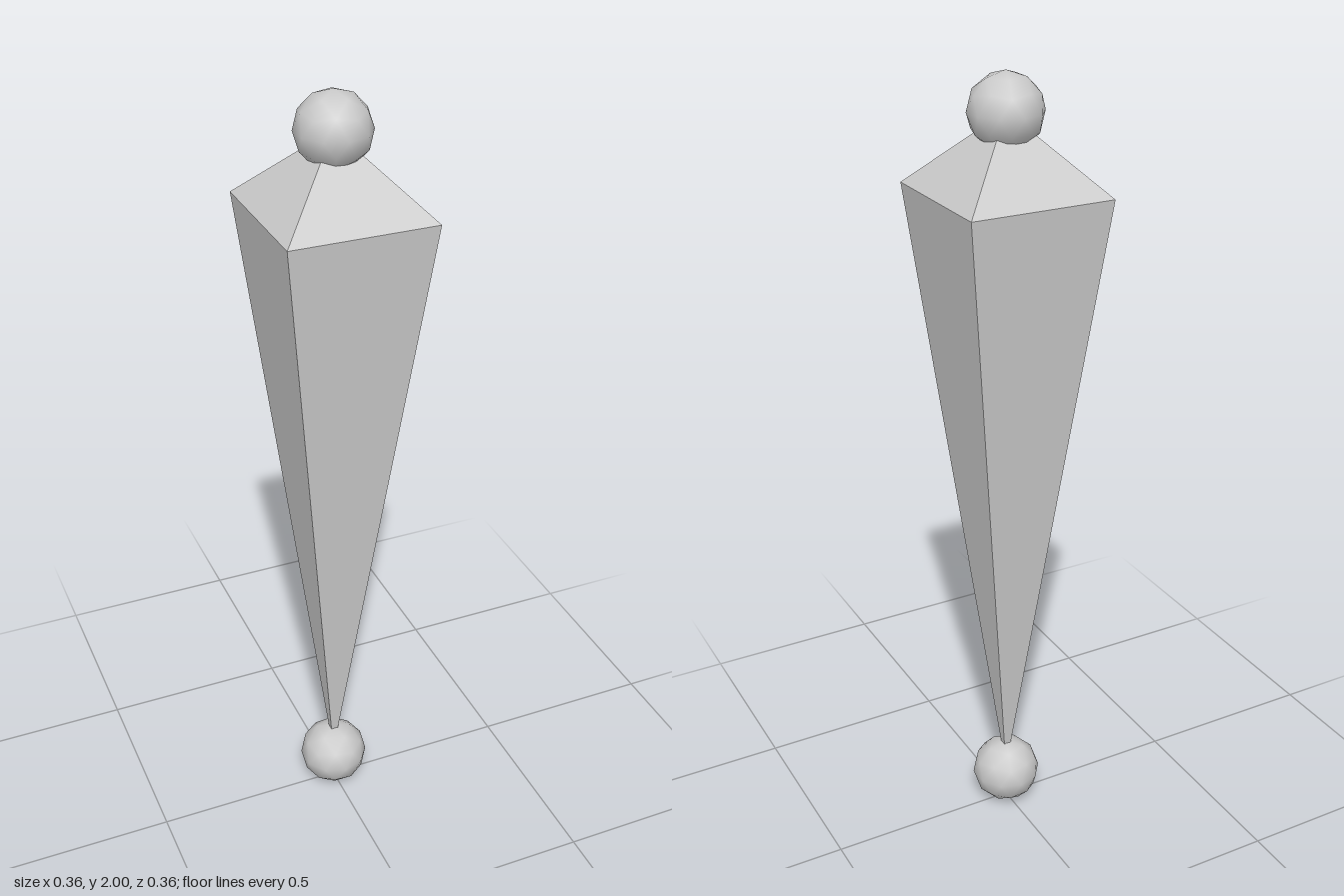
import * as THREE from 'three';

export function createModel() {
  const model = new THREE.Group();
  const length = 2 / 1.1;            // distance between the joint centres
  const jointRadius = length * 0.05;
  const halfWidth = length * 0.1;    // half side of the square shoulder
  const headY = jointRadius;
  const tipY = headY + length;
  const shoulderY = tipY - halfWidth;

  const flat = new THREE.MeshStandardMaterial({ color: 0xcccccc, flatShading: true });
  const smooth = new THREE.MeshStandardMaterial({ color: 0xcccccc });

  function add(name, geometry, material, y) {
    const mesh = new THREE.Mesh(geometry, material);
    mesh.name = name;
    mesh.position.y = y;
    model.add(mesh);
  }

  // Open four-sided pyramid with its base on y = 0 and sides facing the axes
  function pyramid(height) {
    return new THREE.ConeGeometry(halfWidth * Math.SQRT2, height, 4, 1, true, Math.PI / 4)
      .translate(0, height / 2, 0);
  }

  // Bone body: short cap above the shoulder, long taper below it
  add('upperTaper', pyramid(tipY - shoulderY), flat, shoulderY);
  add('lowerTaper', pyramid(shoulderY - headY).rotateX(Math.PI), flat, shoulderY);

  // Joint balls: low-poly icospheres turned so that a corner points straight up
  const tilt = Math.atan(2 / (1 + Math.sqrt(5)));
  const ball = new THREE.IcosahedronGeometry(jointRadius, 1).rotateZ(tilt).rotateY(Math.PI);
  add('upperJoint', ball, smooth, tipY);
  add('lowerJoint', ball, smooth, headY);

  return model;
}
